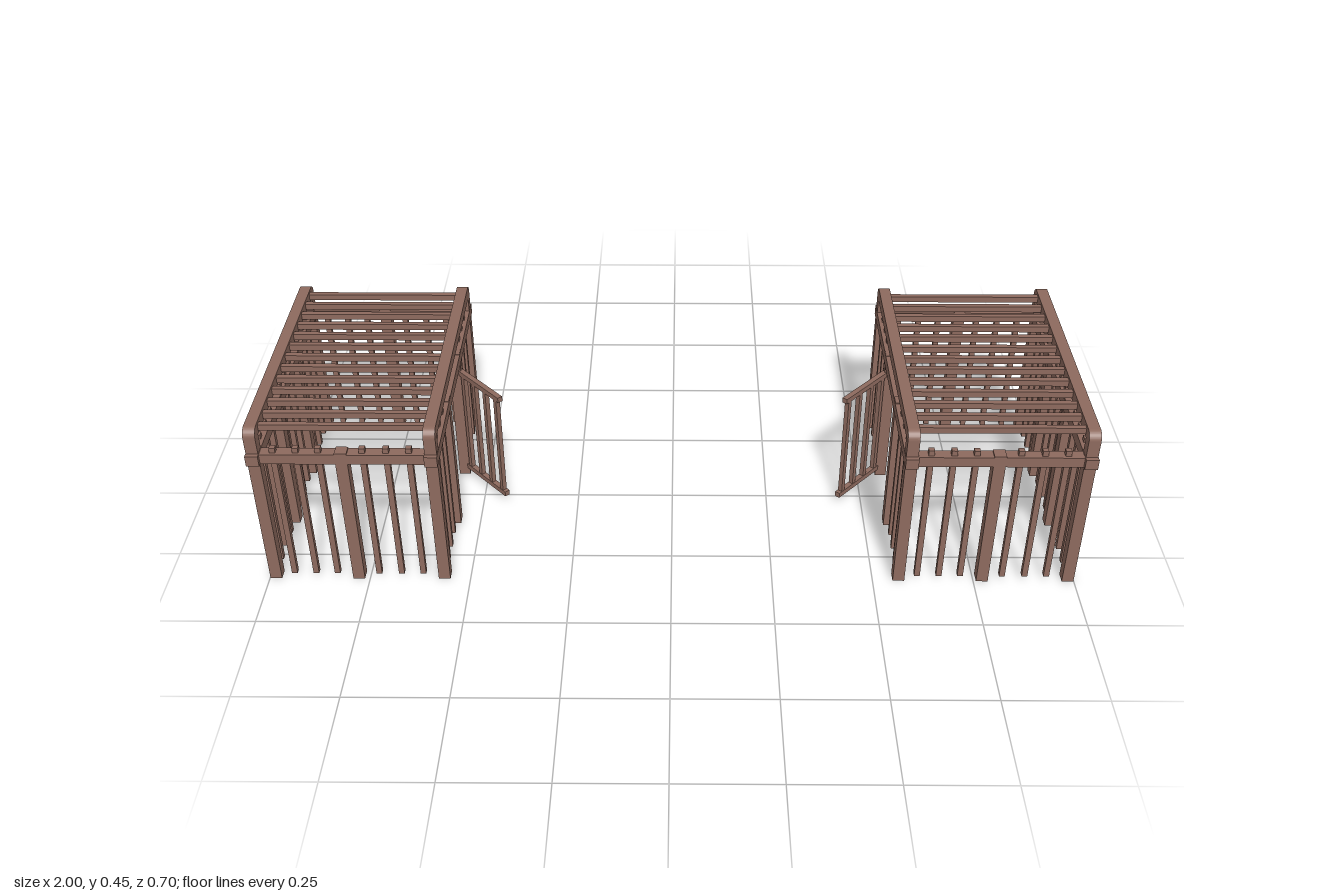
import * as THREE from 'three';

const wood = new THREE.MeshStandardMaterial({ color: 0x8d6a5e });
wood.name = 'brown wood';

const SIDE = 0.21;   // x of side frames from the pen centre
const END = 0.327;   // z of end walls
const POST = 0.029, BAR = 0.014;

function box(parent, name, w, h, d, x, y, z) {
  const m = new THREE.Mesh(new THREE.BoxGeometry(w, h, d), wood);
  m.name = name;
  m.position.set(x, y, z);
  parent.add(m);
  return m;
}

// Uprights given by their bottom and top
const post = (g, x, z) => box(g, 'middlePost', POST, 0.385, POST, x, 0.1925, z);
const bar = (g, x, z) => box(g, 'bar', BAR, 0.385, BAR, x, 0.2025, z);

// Inverted U with rounded upper corners: two corner posts and a top rail
function hoopGeometry() {
  const o = 0.341, i = 0.313, top = 0.45, r = 0.022;
  const s = new THREE.Shape();
  s.moveTo(-o, 0);
  s.lineTo(-i, 0);
  s.lineTo(-i, 0.421);
  s.lineTo(i, 0.421);
  s.lineTo(i, 0);
  s.lineTo(o, 0);
  s.lineTo(o, top - r);
  s.absarc(o - r, top - r, r, 0, Math.PI / 2, false);
  s.lineTo(-o + r, top);
  s.absarc(-o + r, top - r, r, Math.PI / 2, Math.PI, false);
  s.closePath();
  const g = new THREE.ExtrudeGeometry(s, { depth: POST, bevelEnabled: false, curveSegments: 6 });
  g.translate(0, 0, -POST / 2);
  g.rotateY(Math.PI / 2);
  return g;
}

// Barred gate standing ajar, swinging from its hinge along local +x
function makeGate() {
  const gate = new THREE.Group();
  gate.name = 'gate';
  const L = 0.172;
  for (const y of [0.0265, 0.3265]) box(gate, 'gateRail', L, 0.014, 0.014, L / 2, y, 0);
  for (let k = 0; k < 4; k++) box(gate, 'gateBar', 0.012, 0.3, 0.012, 0.016 + k * 0.0465, 0.1765, 0);
  return gate;
}

// One pen; inner is the x direction of the side with the gate
function makePen(inner) {
  const pen = new THREE.Group();
  pen.name = 'pen';
  const hoop = hoopGeometry();

  // Long sides
  for (const s of [-1, 1]) {
    const x = s * SIDE;
    const frame = new THREE.Mesh(hoop, wood);
    frame.name = 'sideFrame';
    frame.position.x = x;
    pen.add(frame);
    box(pen, 'sideRail', 0.031, 0.028, 0.704, x, 0.369, 0);
    for (const z of [-0.107, 0.107]) post(pen, x, z);
    for (const start of [0.168, 0.004, -0.216]) {
      if (s === inner && start === 0.004) continue; // gateway
      for (const k of [-1, 0, 1]) bar(pen, x, start + (start > 0.1 ? 0.053 : 0) + k * 0.053);
    }
  }

  // Short ends
  for (const s of [-1, 1]) {
    const z = s * END;
    box(pen, 'endRail', 2 * SIDE, 0.027, POST, 0, 0.368, z);
    post(pen, -0.003, z);
    for (const x of [-0.164, -0.11, -0.057, 0.047, 0.103, 0.157]) bar(pen, x, z);
  }

  // Roof slats
  for (let k = -6; k <= 6; k++) box(pen, 'roofSlat', 2 * SIDE, 0.016, BAR, 0, 0.435, k * 0.05);

  const gate = makeGate();
  gate.position.set(inner * 0.222, 0, -0.099);
  gate.rotation.y = -Math.atan2(0.127, inner * 0.116);
  pen.add(gate);
  return pen;
}

export function createModel() {
  const model = new THREE.Group();
  model.name = 'twinPens';
  for (const s of [-1, 1]) {
    const pen = makePen(-s);
    pen.name = s > 0 ? 'leftPen' : 'rightPen';
    pen.position.x = s * 0.7745;
    model.add(pen);
  }
  return model;
}
